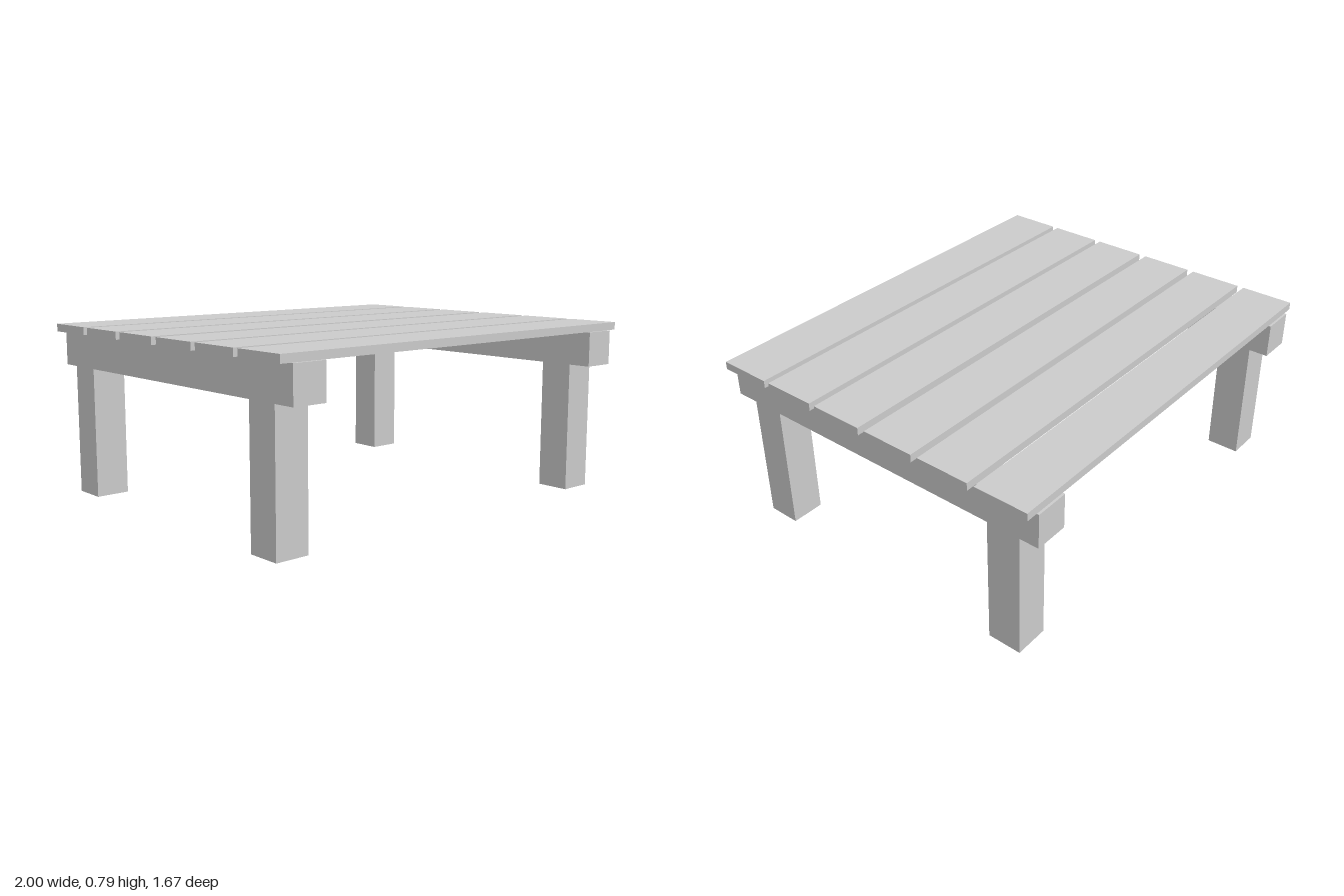
import * as THREE from 'three';

const material = new THREE.MeshStandardMaterial({ color: 0xcccccc, flatShading: true });

// Side frame: a long rail with two legs, outlined in (z, y) and extruded along x
function sideFrame(name, x) {
  const width = 0.155;
  const outline = [
    [-0.834, 0.752], [-0.834, 0.595], [-0.745, 0.595], [-0.745, 0.005],
    [-0.589, 0.005], [-0.589, 0.595], [0.574, 0.595], [0.574, 0],
    [0.728, 0], [0.728, 0.595], [0.834, 0.595], [0.834, 0.752],
  ].map(([z, y]) => new THREE.Vector2(z, y));
  const geometry = new THREE.ExtrudeGeometry(new THREE.Shape(outline), { depth: width, bevelEnabled: false });
  geometry.translate(0, 0, -width / 2).rotateY(-Math.PI / 2);
  const mesh = new THREE.Mesh(geometry, material);
  mesh.name = name;
  mesh.position.x = x;
  return mesh;
}

export function createModel() {
  const table = new THREE.Group();
  table.name = 'slattedTable';

  // Rails with legs
  table.add(sideFrame('leftFrame', 0.868), sideFrame('rightFrame', -0.873));

  // Top slats, back to front
  const slat = new THREE.BoxGeometry(2, 0.035, 0.248);
  [-0.7, -0.42, -0.139, 0.145, 0.423, 0.699].forEach((z, i) => {
    const mesh = new THREE.Mesh(slat, material);
    mesh.name = `slat${i + 1}`;
    mesh.position.set(0, 0.77, z);
    table.add(mesh);
  });

  return table;
}
